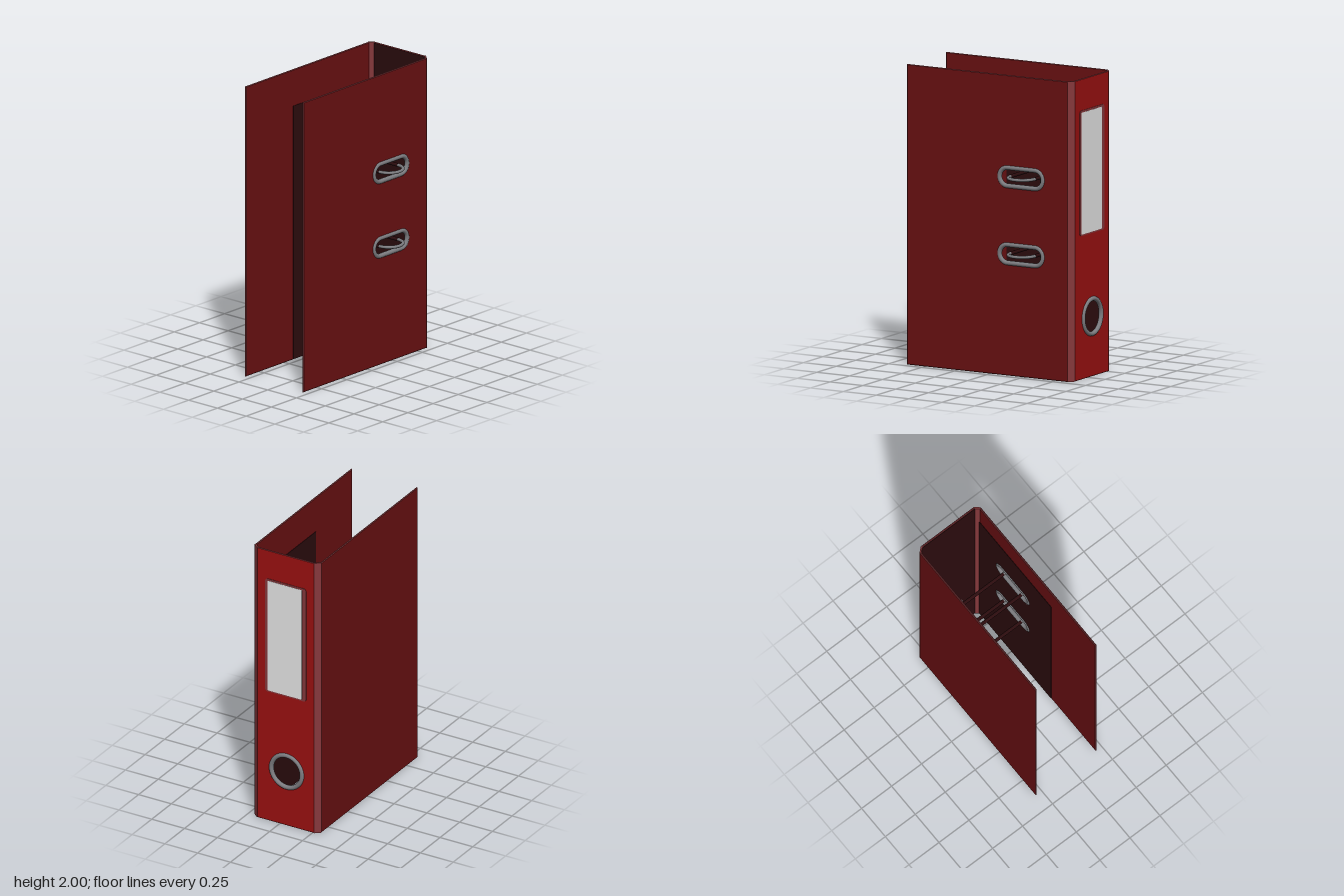
import * as THREE from 'three';

const mat = (name, color) => {
  const m = new THREE.MeshStandardMaterial({ color });
  m.name = name;
  return m;
};

// Rectangle with rounded corners; works for outlines, holes and paths
function roundRect(path, cx, cy, w, h, r) {
  const x = w / 2 - r, y = h / 2 - r;
  path.absarc(cx + x, cy + y, r, 0, Math.PI / 2);
  path.absarc(cx - x, cy + y, r, Math.PI / 2, Math.PI);
  path.absarc(cx - x, cy - y, r, Math.PI, Math.PI * 1.5);
  path.absarc(cx + x, cy - y, r, Math.PI * 1.5, Math.PI * 2);
  path.closePath();
  return path;
}

// Upright sheet in the XY plane, centred on z = 0, with a fine bevelled edge
function sheet(x0, x1, y0, y1, thick, bevel, holes = []) {
  const s = new THREE.Shape();
  s.moveTo(x0 + bevel, y0 + bevel);
  s.lineTo(x1 - bevel, y0 + bevel);
  s.lineTo(x1 - bevel, y1 - bevel);
  s.lineTo(x0 + bevel, y1 - bevel);
  s.closePath();
  s.holes.push(...holes);
  const depth = thick - 2 * bevel;
  const g = new THREE.ExtrudeGeometry(s, {
    depth, curveSegments: 16, bevelEnabled: bevel > 0,
    bevelSize: bevel, bevelThickness: bevel, bevelSegments: 1,
  });
  return g.translate(0, 0, -depth / 2);
}

export function createModel() {
  const group = new THREE.Group();
  const cover = mat('cover red', 0x6a1012);
  const spineRed = mat('spine red', 0x9c1010);
  const edge = mat('worn edge red', 0x86383c);
  const lining = mat('dark lining', 0x2c0c0e);
  const metal = mat('grey metal', 0x7c7c80);
  const paper = mat('label paper', 0xfafafa);

  const add = (name, geometry, material, x = 0, y = 0, z = 0) => {
    const m = new THREE.Mesh(geometry, material);
    m.name = name;
    m.position.set(x, y, z);
    group.add(m);
    return m;
  };

  const FRONT = 0.205, BACK = -0.294, SPINE = 0.615, MID = -0.045;
  const ringX = 0.234, ringYs = [0.81, 1.323];
  const holeZ = -0.052, holeY = 0.4;
  const slots = () => ringYs.map(y => roundRect(new THREE.Path(), ringX, y, 0.33, 0.122, 0.06));
  const fingerHole = () => [new THREE.Path().absarc(-holeZ, holeY, 0.117, 0, Math.PI * 2)];

  // Covers
  add('frontCover', sheet(-0.635, 0.592, 0, 2, 0.012, 0.004, slots()), [cover, edge], 0, 0, FRONT);
  add('backCover', sheet(-0.635, 0.592, 0, 2, 0.012, 0.004), [cover, edge], 0, 0, BACK);

  // Spine with finger hole
  add('spine', sheet(-0.174, 0.263, 0, 2, 0.012, 0.003, fingerHole()).rotateY(Math.PI / 2),
    [spineRed, edge], SPINE);

  // Slanted hinge strips joining covers and spine
  for (const side of [1, -1]) {
    const z = d => -(MID + side * d);
    const s = new THREE.Shape([
      new THREE.Vector2(0.590, z(0.256)), new THREE.Vector2(0.621, z(0.220)),
      new THREE.Vector2(0.609, z(0.216)), new THREE.Vector2(0.586, z(0.244)),
    ]);
    const g = new THREE.ExtrudeGeometry(s, { depth: 2, bevelEnabled: false }).rotateX(-Math.PI / 2);
    add('hingeStrip', g, edge);
  }

  // Dark inner linings
  add('frontLining', sheet(-0.17, 0.588, 0.004, 1.75, 0.003, 0, slots()), lining, 0, 0, FRONT - 0.0075);
  add('backLining', sheet(-0.17, 0.588, 0.004, 1.75, 0.003, 0), lining, 0, 0, BACK + 0.0075);
  add('spineLining', sheet(-0.174, 0.263, 0.004, 1.996, 0.003, 0, fingerHole()).rotateY(Math.PI / 2),
    lining, SPINE - 0.0075);

  // Finger hole ring
  add('fingerRing', new THREE.TorusGeometry(0.117, 0.016, 12, 40).rotateY(Math.PI / 2),
    metal, 0.619, holeY, holeZ);

  // Label holder and paper on the spine
  const plate = (w, h, r, depth) => new THREE.ExtrudeGeometry(
    roundRect(new THREE.Shape(), 0, 0, w, h, r), { depth, bevelEnabled: false, curveSegments: 6 }
  ).rotateY(Math.PI / 2);
  add('labelHolder', plate(0.312, 0.835, 0.02, 0.004), edge, 0.620, 1.373, -0.046);
  add('label', plate(0.262, 0.812, 0.006, 0.003), paper, 0.6225, 1.371, -0.039);

  // Slot rims, arches and posts
  for (const y of ringYs) {
    const outline = roundRect(new THREE.Path(), 0, 0, 0.33, 0.122, 0.06).getSpacedPoints(64);
    outline.pop();
    const rim = new THREE.CatmullRomCurve3(outline.map(p => new THREE.Vector3(p.x, p.y, 0)), true);
    add('slotRim', new THREE.TubeGeometry(rim, 80, 0.016, 10, true), metal, ringX, y, FRONT);

    const arch = new THREE.TorusGeometry(0.093, 0.011, 10, 24, Math.PI).rotateX(Math.PI / 2);
    add('ringArch', arch, metal, ringX, y, 0.192);
    for (const side of [-1, 1]) {
      const post = new THREE.CylinderGeometry(0.012, 0.012, 0.452, 12).rotateX(Math.PI / 2);
      add('ringPost', post, lining, ringX + side * 0.093, y, -0.034);
    }
  }

  // Mechanism base on the back cover
  add('mechanismBase', new THREE.BoxGeometry(0.276, 0.72, 0.033), lining, 0.24, 1.066, -0.2715);

  return group;
}
